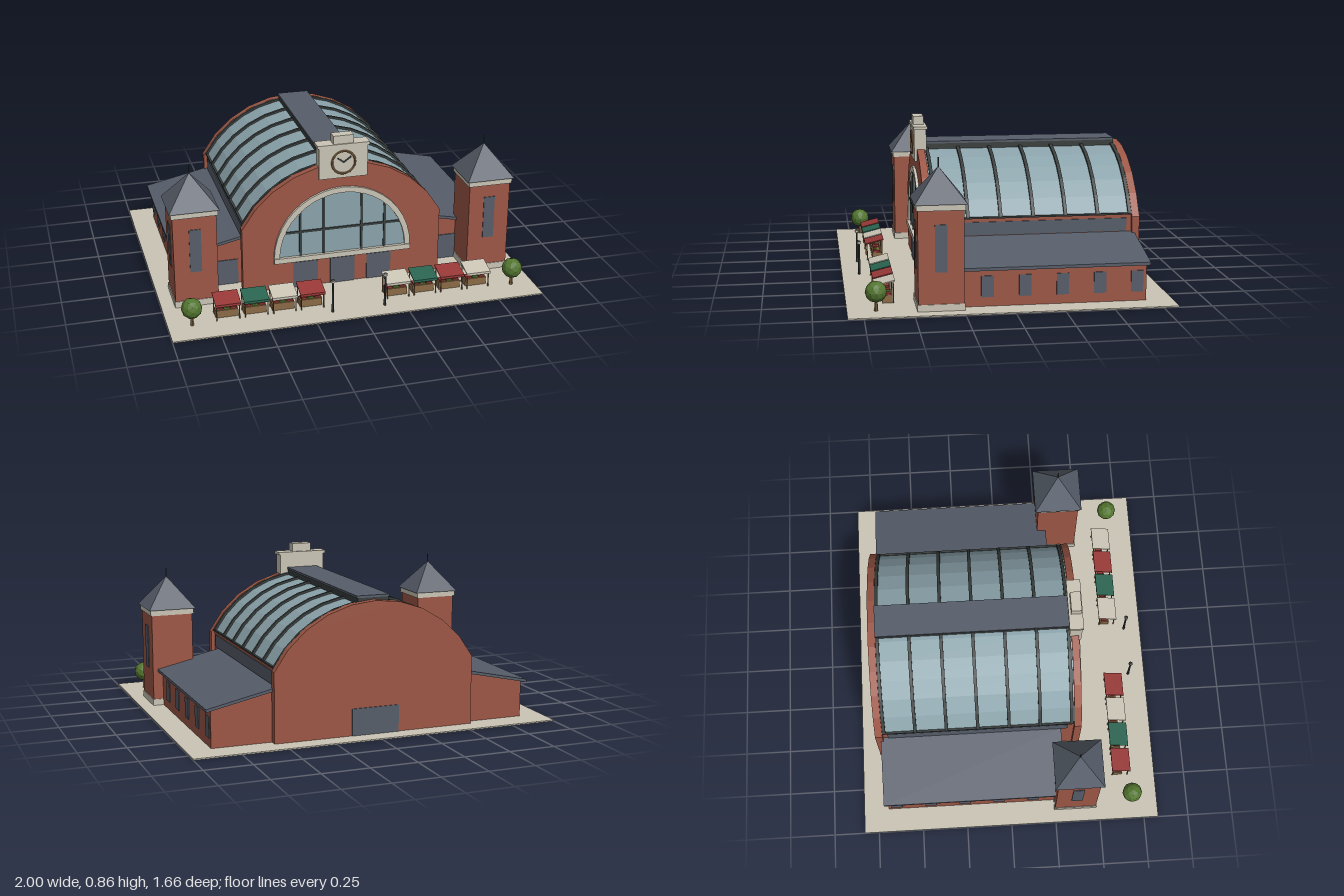
import * as THREE from 'three';

const mat = (name, color) => {
  const m = new THREE.MeshStandardMaterial({ color, flatShading: true });
  m.name = name;
  return m;
};

export function createModel() {
  const root = new THREE.Group();
  root.name = 'marketHall';
  const brick = mat('brick', 0x9c5645), slate = mat('slate', 0x565d69), stone = mat('stone', 0xcac4b5);
  const glass = mat('glass', 0x8ba3ab), iron = mat('iron', 0x383e3d), red = mat('red', 0x963836);
  const green = mat('green', 0x2a6350), wood = mat('wood', 0x8a6a45), leaf = mat('foliage', 0x52752f);

  const add = (name, geo, m, x = 0, y = 0, z = 0, parent = root) => {
    const mesh = new THREE.Mesh(geo, m);
    mesh.name = name;
    mesh.position.set(x, y, z);
    parent.add(mesh);
    return mesh;
  };
  // Box given by its centre in x and z and by its bottom and top in y
  const box = (name, m, x, y0, y1, z, w, d, parent = root) =>
    add(name, new THREE.BoxGeometry(w, y1 - y0, d), m, x, (y0 + y1) / 2, z, parent);
  // Outline in x and y extruded from z0 to z1
  const slab = (name, m, pts, z0, z1, hole) => {
    const shape = new THREE.Shape(pts);
    if (hole) shape.holes.push(new THREE.Path(hole));
    const geo = new THREE.ExtrudeGeometry(shape, { depth: z1 - z0, bevelEnabled: false });
    return add(name, geo, m, 0, 0, z0);
  };
  const V = (x, y) => new THREE.Vector2(x, y);
  // Arc points from right to left, a = half angle measured from the vertical
  const arc = (r, cy, a, n) => Array.from({ length: n + 1 }, (_, i) => {
    const t = a - (2 * a * i) / n;
    return V(r * Math.sin(t), cy + r * Math.cos(t));
  });

  // Paved ground
  box('pavement', stone, 0, 0, 0.007, 0, 2, 1.66);
  const G = 0.002;

  // Hall: brick body, glass vault, gables
  const CY = 0.082;
  box('hallBody', brick, 0, G, 0.385, -0.16, 1.06, 1.06);
  slab('glassVault', glass, arc(0.61, CY, Math.asin(0.53 / 0.61), 12), -0.69, 0.37);
  const gable = [V(-0.55, G), V(0.55, G), ...arc(0.623, CY, Math.asin(0.55 / 0.623), 10)];
  slab('frontGable', brick, gable, 0.37, 0.41);
  slab('backGable', brick, gable, -0.73, -0.69);

  // Roof ribs and ridge lantern
  const ribA = Math.asin(0.54 / 0.622);
  const ribPts = [...arc(0.622, CY, ribA, 12), ...arc(0.605, CY, ribA, 12).reverse()];
  for (let i = 0; i < 7; i++) {
    const z = -0.68 + i * 0.1725;
    slab('roofRib', iron, ribPts, z - 0.009, z + 0.009);
  }
  box('ridgeLantern', iron, 0, 0.67, 0.715, -0.165, 0.17, 1.05);
  box('ridgeRoof', slate, 0, 0.715, 0.727, -0.165, 0.18, 1.05);

  // Arched front window
  const WY = 0.19, H = Math.PI / 2;
  slab('archFrame', stone, [...arc(0.38, WY, H, 20), ...arc(0.35, WY, H, 20).reverse()], 0.41, 0.425);
  slab('archGlass', glass, arc(0.352, WY, H, 20), 0.41, 0.414);
  box('windowSill', stone, 0, 0.165, WY + 0.004, 0.42, 0.76, 0.024);
  for (const x of [-0.234, -0.105, 0.105, 0.234])
    box('mullion', iron, x, WY, WY + Math.sqrt(0.35 ** 2 - x * x), 0.417, 0.013, 0.006);
  box('transom', iron, 0, 0.328, 0.34, 0.417, 0.64, 0.007);

  // Doors
  for (const x of [-0.205, 0, 0.205]) box('frontDoor', slate, x, 0.007, 0.155, 0.412, 0.136, 0.006);
  box('backDoor', slate, 0, 0.007, 0.15, -0.732, 0.26, 0.006);

  // Clock block over the front gable
  box('clockBlock', stone, 0, 0.625, 0.8, 0.392, 0.265, 0.066);
  box('clockCornice', stone, 0, 0.8, 0.816, 0.392, 0.285, 0.076);
  box('clockCrown', stone, 0, 0.816, 0.862, 0.395, 0.11, 0.056);
  add('clockRing', new THREE.TorusGeometry(0.063, 0.006, 6, 24), wood, 0, 0.713, 0.427);
  const hand = (x, y, l, a) => {
    const h = box('clockHand', iron, x, y - l / 2, y + l / 2, 0.428, 0.008, 0.004);
    h.rotation.z = a;
  };
  hand(-0.016, 0.725, 0.042, 0.92);
  hand(0.02, 0.727, 0.054, -0.95);

  // Mirrored side parts
  for (const s of [-1, 1]) {
    const sx = (pts) => {
      const q = pts.map(([x, y]) => V(s * x, y));
      return s < 0 ? q.reverse() : q;
    };
    // Aisle with pitched roof, windows and clerestory band
    slab('aisleWall', brick, sx([[0.5, G], [0.87, G], [0.87, 0.203], [0.5, 0.283]]), -0.69, 0.28);
    slab('aisleRoof', slate, sx([[0.53, 0.276], [0.897, 0.196], [0.897, 0.212], [0.53, 0.292]]), -0.705, 0.3);
    for (let i = 0; i < 5; i++)
      box('aisleWindow', slate, s * 0.871, 0.055, 0.165, 0.127 - i * 0.192, 0.008, 0.063);
    box('aisleDoor', slate, s * 0.625, 0.007, 0.15, 0.281, 0.15, 0.008);
    box('clerestory', slate, s * 0.531, 0.295, 0.365, -0.163, 0.008, 1.0);
    box('gutter', iron, s * 0.533, 0.383, 0.392, -0.16, 0.012, 1.06);

    // Corner tower
    const tower = new THREE.Group();
    tower.name = 'cornerTower';
    tower.position.set(s * 0.81, 0, 0.364);
    root.add(tower);
    box('towerPlinth', stone, 0, G, 0.042, 0, 0.238, 0.238, tower);
    box('towerShaft', brick, 0, 0.042, 0.515, 0, 0.23, 0.23, tower);
    box('towerCornice', stone, 0, 0.515, 0.546, 0, 0.245, 0.245, tower);
    const roof = new THREE.ConeGeometry(0.132 * Math.SQRT2, 0.17, 4).rotateY(Math.PI / 4);
    add('towerRoof', roof, slate, 0, 0.631, 0, tower);
    add('towerSpire', new THREE.CylinderGeometry(0.003, 0.004, 0.055, 6), iron, 0, 0.733, 0, tower);
    box('towerFrontWindow', slate, 0, 0.205, 0.445, 0.116, 0.062, 0.006, tower);
    box('towerSideWindow', slate, s * 0.116, 0.205, 0.445, 0, 0.006, 0.062, tower);

    // Tree
    add('treeTrunk', new THREE.CylinderGeometry(0.007, 0.01, 0.07, 6), wood, s * 0.875, 0.04, 0.685);
    add('treeCrown', new THREE.IcosahedronGeometry(0.055, 1), leaf, s * 0.875, 0.105, 0.685);

    // Street lamp
    add('lampPost', new THREE.CylinderGeometry(0.005, 0.007, 0.17, 6), iron, s * 0.142, 0.09, 0.735);
    add('lampHead', new THREE.IcosahedronGeometry(0.011, 1), stone, s * 0.142, 0.184, 0.735);
    add('lampCap', new THREE.ConeGeometry(0.012, 0.008, 8), iron, s * 0.142, 0.195, 0.735);
  }

  // Market stalls
  const stall = (x, cover) => {
    const g = new THREE.Group();
    g.name = 'marketStall';
    g.position.set(x, 0, 0.63);
    root.add(g);
    box('counter', wood, 0, 0.007, 0.048, -0.01, 0.118, 0.05, g);
    [red, leaf, red].forEach((m, i) => box('produce', m, (i - 1) * 0.037, 0.048, 0.058, -0.01, 0.032, 0.036, g));
    for (const px of [-0.06, 0.06]) {
      box('backPost', wood, px, 0.007, 0.122, -0.04, 0.005, 0.005, g);
      box('frontPost', wood, px, 0.007, 0.1, 0.045, 0.005, 0.005, g);
    }
    const awning = box('awning', cover, 0, 0.109, 0.115, 0.004, 0.134, 0.108, g);
    awning.rotation.x = 0.24;
    box('awningValance', cover, 0, 0.088, 0.102, 0.055, 0.134, 0.004, g);
  };
  const covers = [red, green, stone, red, stone, green, red, stone];
  covers.forEach((m, i) => stall(i < 4 ? -0.685 + i * 0.15 : 0.235 + (i - 4) * 0.15, m));

  return root;
}
